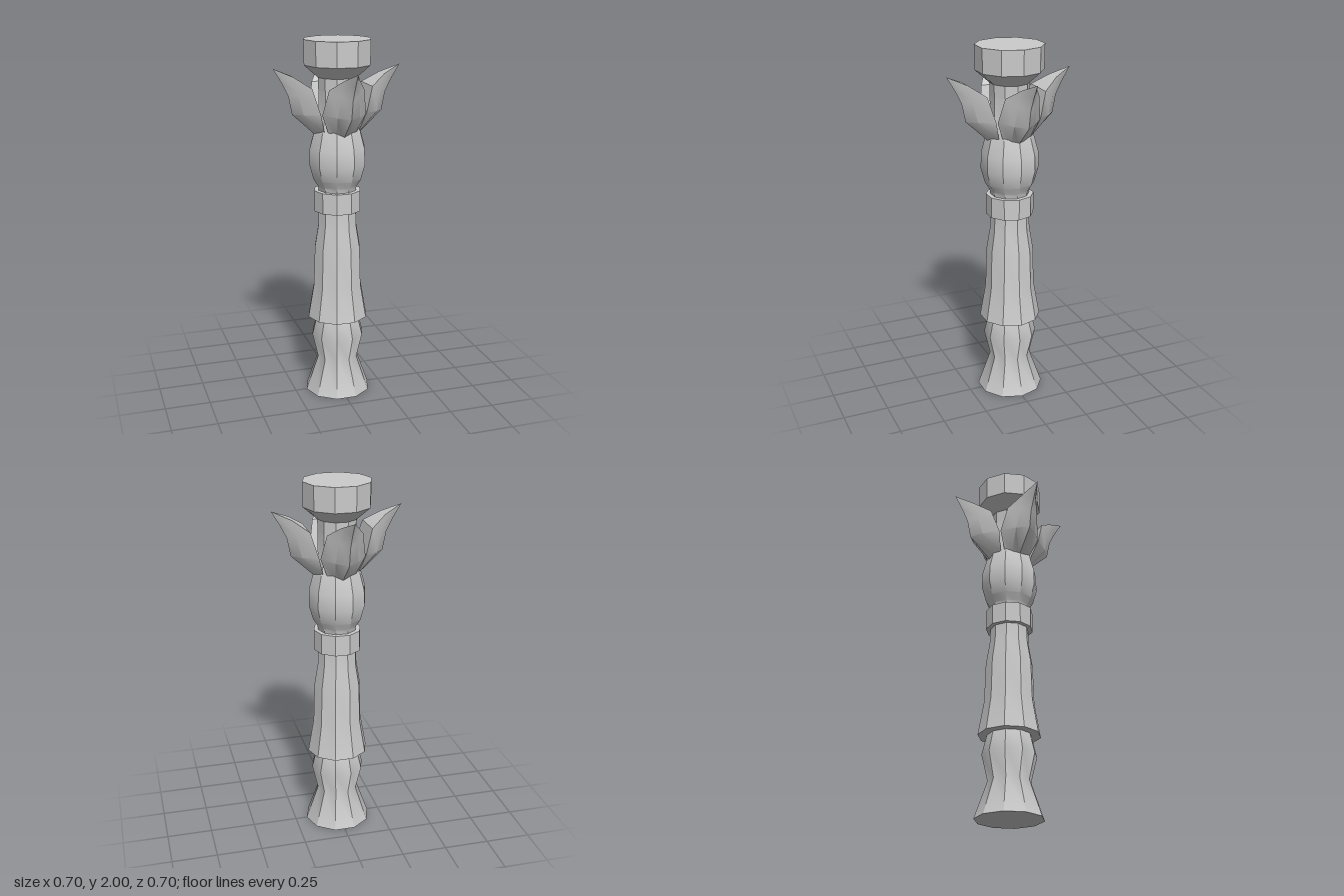
import * as THREE from 'three';
import { toCreasedNormals } from 'three/addons/utils/BufferGeometryUtils.js';

const SIDES = 10;
const CREASE = 0.58;

function addMesh(parent, name, geometry) {
  const material = new THREE.MeshStandardMaterial({ color: 0xcccccc });
  const mesh = new THREE.Mesh(toCreasedNormals(geometry, CREASE), material);
  mesh.name = name;
  parent.add(mesh);
  return mesh;
}

// Closed ten-sided turning from [radius, height] pairs, bottom to top
function turned(profile) {
  const first = profile[0], last = profile[profile.length - 1];
  const points = [[0, first[1]], ...profile, [0, last[1]]].map(([r, y]) => new THREE.Vector2(r, y));
  return new THREE.LatheGeometry(points, SIDES, Math.PI / 2);
}

// Solid leaf facing +z: keeled outside, flat inside
function leafGeometry() {
  // keel z, keel y, edge z, edge y, half width
  const rows = [
    [0.12, 1.49, 0.095, 1.52, 0.08],
    [0.25, 1.61, 0.125, 1.62, 0.12],
    [0.27, 1.71, 0.165, 1.755, 0.095],
    [0.305, 1.78, 0.25, 1.812, 0.043],
    [0.35, 1.855, 0.35, 1.855, 0],
  ];
  const rings = rows.map(([kz, ky, ez, ey, w]) => [-1, -0.5, 0, 0.5, 1].map((t) => {
    const s = Math.abs(t);
    const bulge = s === 0.5 ? 0.12 * (kz - ez) : 0;
    return [t * w * 1.0, ky + (ey - ky) * s, kz + (ez - kz) * s + bulge];
  }));
  const pos = [];
  const tri = (...corners) => corners.forEach((p) => pos.push(...p));
  for (let i = 0; i < rings.length - 1; i++) {
    for (let j = 0; j < 5; j++) {
      const k = (j + 1) % 5;
      tri(rings[i][j], rings[i][k], rings[i + 1][j]);
      if (i < rings.length - 2) tri(rings[i][k], rings[i + 1][k], rings[i + 1][j]);
    }
  }
  // base of the leaf
  for (let j = 1; j < 4; j++) tri(rings[0][0], rings[0][j + 1], rings[0][j]);
  const geometry = new THREE.BufferGeometry();
  geometry.setAttribute('position', new THREE.Float32BufferAttribute(pos, 3));
  return geometry;
}

export function createModel() {
  const model = new THREE.Group();
  model.name = 'carvedPost';

  // Flared foot and lower shaft
  addMesh(model, 'foot', turned([[0.185, 0], [0.115, 0.2], [0.148, 0.34], [0.118, 0.46]]));

  // Skirted middle shaft
  addMesh(model, 'shaft', turned([
    [0.17, 0.45], [0.137, 0.64], [0.13, 0.86], [0.11, 0.98], [0.106, 1.08],
  ]));

  // Band above the shaft
  addMesh(model, 'band', turned([[0.131, 1.07], [0.131, 1.185]]));

  // Bulb and the neck rising from it
  addMesh(model, 'bulb', turned([
    [0.105, 1.18], [0.11, 1.21], [0.135, 1.25], [0.157, 1.33],
    [0.155, 1.42], [0.125, 1.53], [0.105, 1.6], [0.105, 1.75],
  ]));

  // Flaring capital with a flat top
  addMesh(model, 'capital', turned([
    [0.105, 1.73], [0.107, 1.8], [0.183, 1.867], [0.185, 2],
  ]));

  // Four leaves around the neck
  const leaves = new THREE.Group();
  leaves.name = 'leaves';
  const leaf = leafGeometry();
  ['frontLeaf', 'leftLeaf', 'backLeaf', 'rightLeaf'].forEach((name, i) => {
    addMesh(leaves, name, leaf).rotation.y = i * Math.PI / 2;
  });
  model.add(leaves);

  return model;
}
